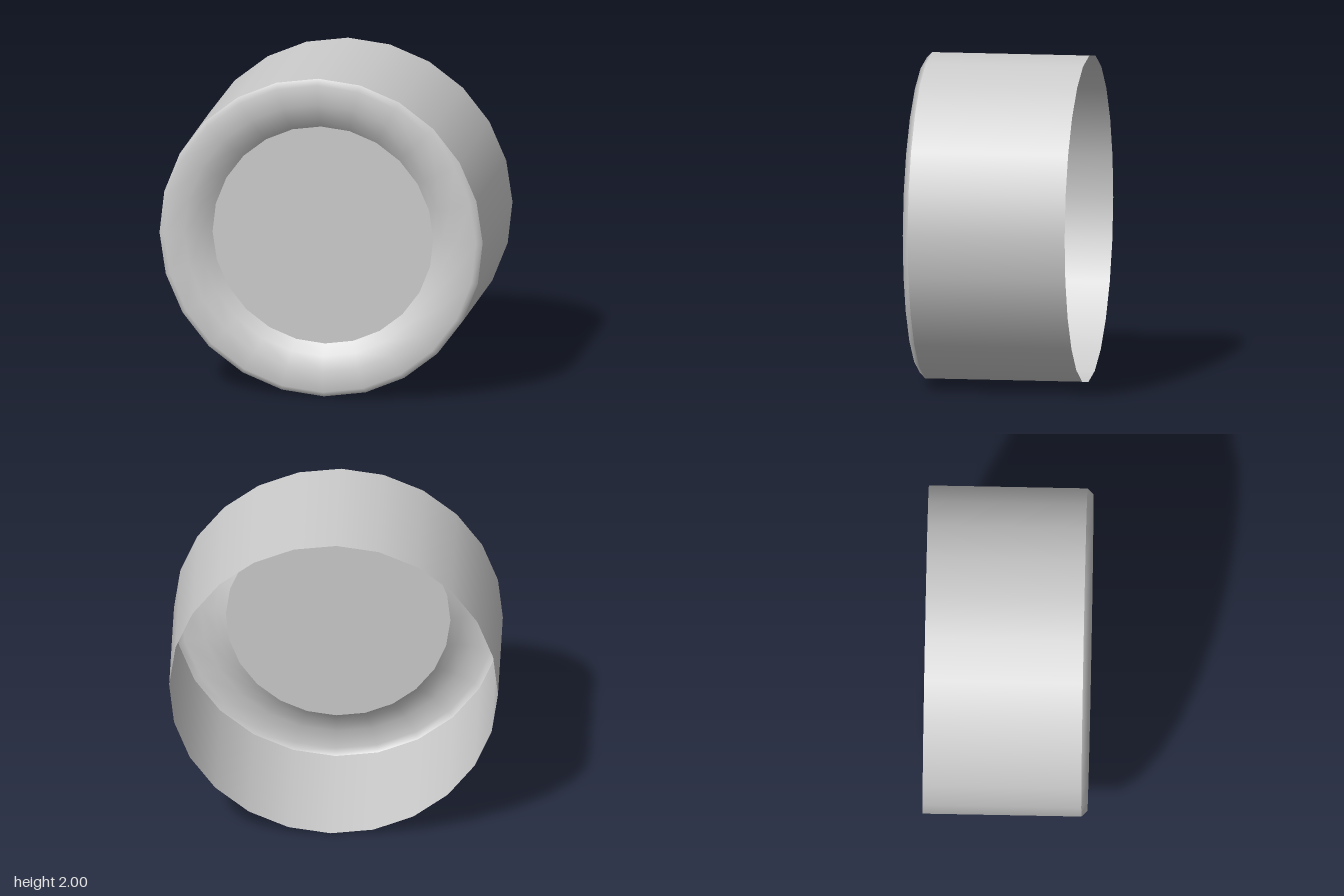
import * as THREE from 'three';

const SIDES = 24;
const TURN = THREE.MathUtils.degToRad(1); // slight twist of the facets
const FACE_RADIUS = 0.683;
const FACE_Z = 0.405;

const material = new THREE.MeshStandardMaterial({ color: 0xcccccc, side: THREE.DoubleSide });

// Revolves [radius, z] points around the z axis
function revolve(name, profile) {
  const points = profile.map(([r, z]) => new THREE.Vector2(r, z));
  const geometry = new THREE.LatheGeometry(points, SIDES, TURN).rotateX(Math.PI / 2);
  const mesh = new THREE.Mesh(geometry, material);
  mesh.name = name;
  return mesh;
}

export function createModel() {
  const model = new THREE.Group();
  model.name = 'openBackedDrum';

  // Thin side wall, open at the back
  const wall = revolve('sideWall', [[1, -0.5], [1, 0.465]]);

  // Chamfered lip that curves inward to the recessed face
  const rim = revolve('frontRim', [
    [1, 0.465], [0.965, 0.5], [0.84, 0.49], [0.75, 0.455], [FACE_RADIUS, FACE_Z],
  ]);

  // Flat recessed face
  const face = new THREE.Mesh(new THREE.CircleGeometry(FACE_RADIUS, SIDES, TURN), material);
  face.name = 'frontFace';
  face.position.z = FACE_Z;

  const drum = new THREE.Group();
  drum.name = 'drum';
  drum.add(wall, rim, face);
  drum.position.y = 1;
  model.add(drum);
  return model;
}
